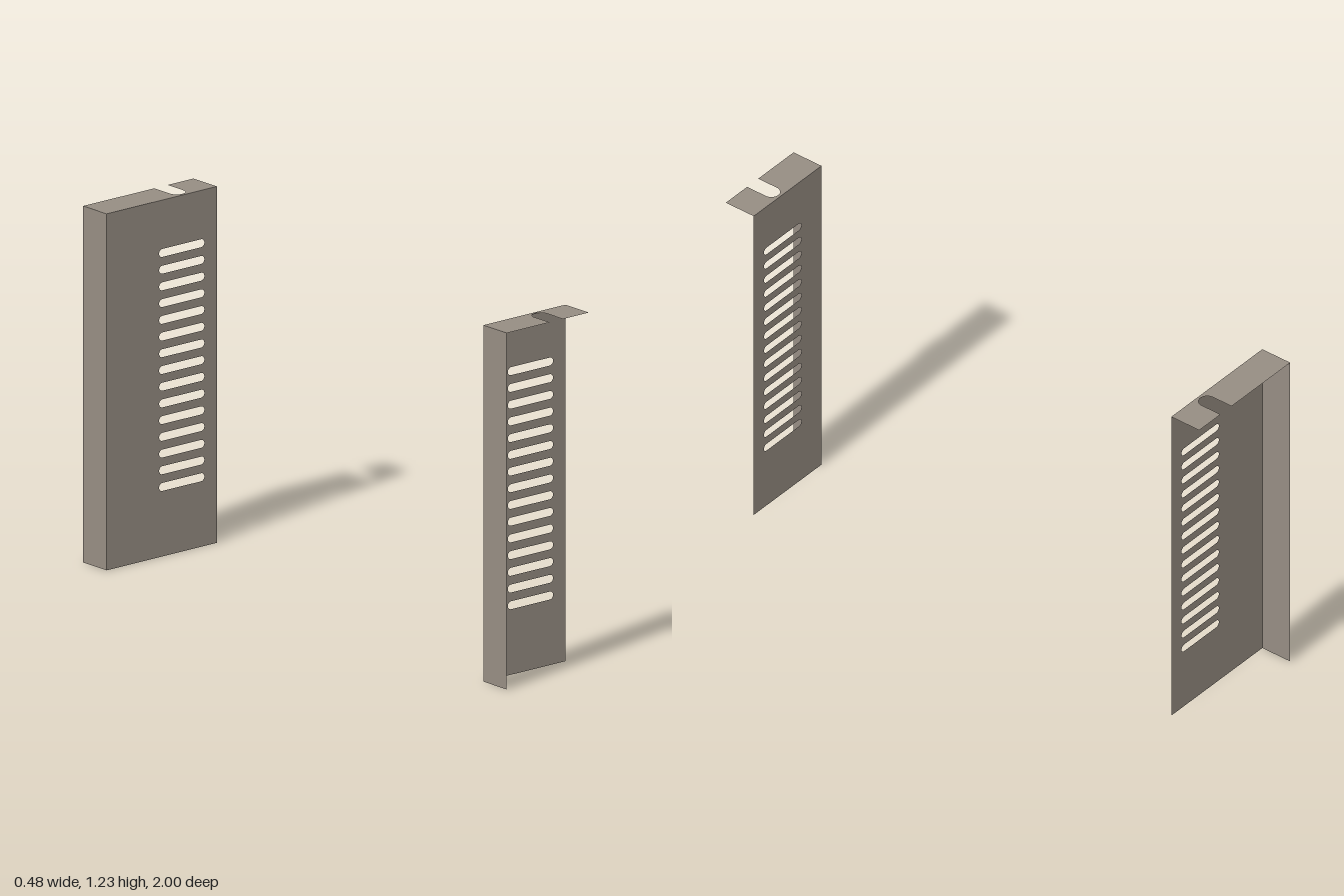
import * as THREE from 'three';

const HEIGHT = 1.226, RIGHT = 0.239, FACE_Z = 0.882, DEPTH = 0.118;

// Horizontal vent slot with round ends
function ventHole(y) {
  const r = 0.0138, x0 = -0.011 + r, x1 = 0.185 - r;
  const hole = new THREE.Path();
  hole.moveTo(x0, y - r);
  hole.lineTo(x1, y - r);
  hole.absarc(x1, y, r, -Math.PI / 2, Math.PI / 2, false);
  hole.lineTo(x0, y + r);
  hole.absarc(x0, y, r, Math.PI / 2, Math.PI * 1.5, false);
  return hole;
}

// Upright sheet with a column of vents
function faceGeometry(left) {
  const shape = new THREE.Shape();
  shape.moveTo(left, 0);
  shape.lineTo(RIGHT, 0);
  shape.lineTo(RIGHT, HEIGHT);
  shape.lineTo(left, HEIGHT);
  shape.closePath();
  for (let i = 0; i < 15; i++) shape.holes.push(ventHole(0.239 + i * 0.0575));
  return new THREE.ShapeGeometry(shape, 8);
}

// Top lip with a round-ended notch open at its outer edge
function lipGeometry(left) {
  const cx = 0.098, r = 0.029, shape = new THREE.Shape();
  shape.moveTo(left, 0);
  shape.lineTo(RIGHT, 0);
  shape.lineTo(RIGHT, DEPTH);
  shape.lineTo(cx + r, DEPTH);
  shape.lineTo(cx + r, 0.01 + r);
  shape.absarc(cx, 0.01 + r, r, 0, -Math.PI, true);
  shape.lineTo(cx - r, DEPTH);
  shape.lineTo(left, DEPTH);
  shape.closePath();
  return new THREE.ShapeGeometry(shape, 12);
}

// One folded panel; dir is +1 when its flanges point to the front, -1 to the back
function makePanel(name, left, dir, material) {
  const panel = new THREE.Group();
  panel.name = name;
  const add = (part, geometry) => {
    const mesh = new THREE.Mesh(geometry, material);
    mesh.name = part;
    panel.add(mesh);
    return mesh;
  };
  add('ventedFace', faceGeometry(left));

  const lip = add('topLip', lipGeometry(left));
  lip.rotation.x = dir * Math.PI / 2;
  lip.position.y = HEIGHT;

  const flange = add('sideFlange', new THREE.PlaneGeometry(DEPTH, HEIGHT));
  flange.rotation.y = -Math.PI / 2;
  flange.position.set(left, HEIGHT / 2, dir * DEPTH / 2);

  panel.position.z = dir * FACE_Z;
  return panel;
}

export function createModel() {
  const metal = new THREE.MeshStandardMaterial({ color: 0x968d83, side: THREE.DoubleSide });
  metal.name = 'warm grey metal';
  const model = new THREE.Group();
  model.name = 'ventedPanels';
  model.add(makePanel('frontPanel', -0.117, 1, metal));
  model.add(makePanel('rearPanel', -0.239, -1, metal));
  return model;
}
